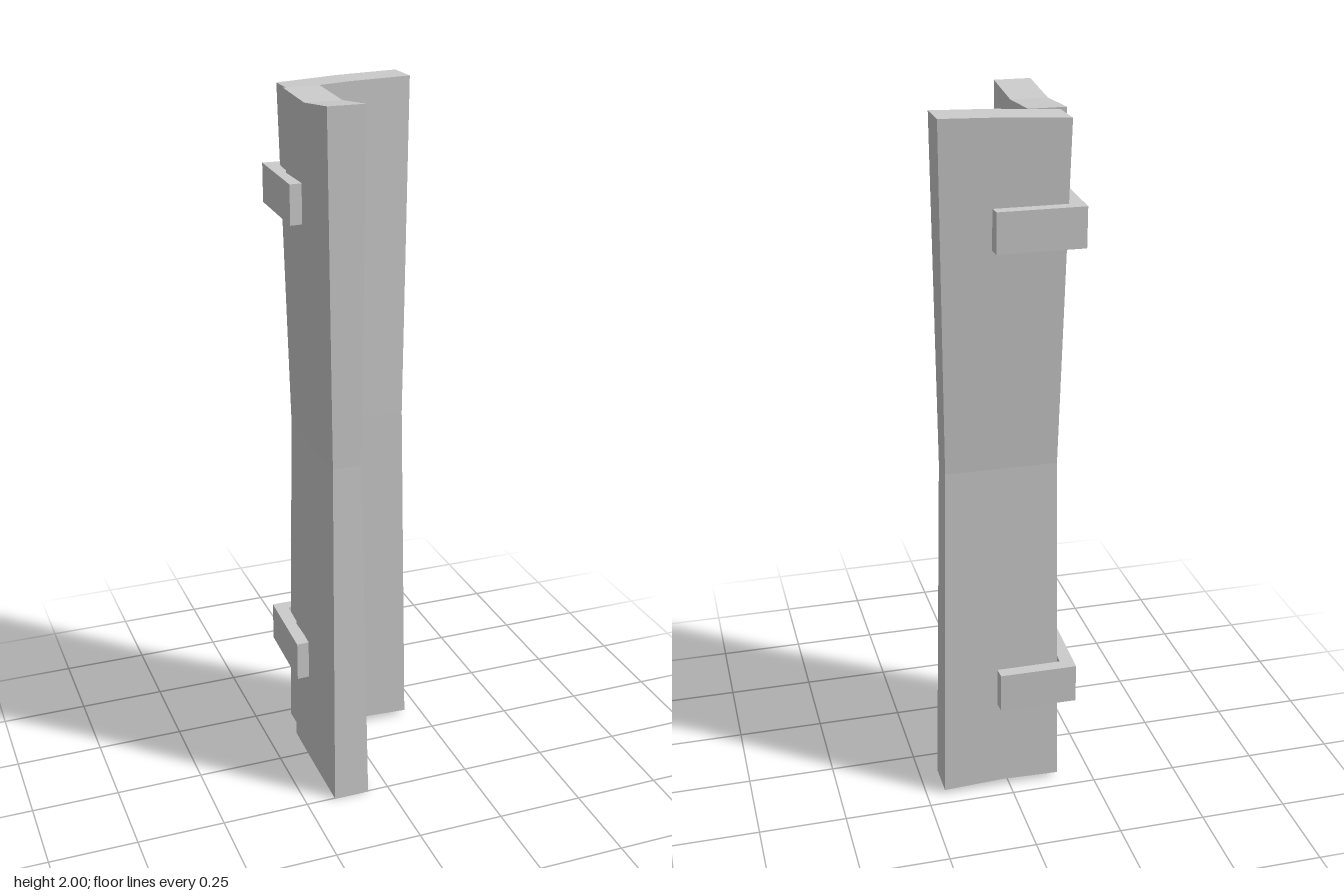
import * as THREE from 'three';

const material = new THREE.MeshStandardMaterial({ color: 0xcccccc, flatShading: true });

// Hewn plank: a segmented box fitted to three levels [x0, x1, z0, z1] (bottom, waist, top),
// with its end heights varying along the plank's width (three values per end).
function plank(name, levels, along, bottomY, topY) {
  const geo = new THREE.BoxGeometry(1, 2, 1, along === 'x' ? 2 : 1, 2, along === 'z' ? 2 : 1);
  const p = geo.attributes.position;
  for (let i = 0; i < p.count; i++) {
    const u = p.getX(i) + 0.5, w = p.getZ(i) + 0.5;
    const row = Math.round(p.getY(i)) + 1;
    const [x0, x1, z0, z1] = levels[row];
    const col = Math.round((along === 'x' ? u : w) * 2);
    const y = [bottomY[col], 1.03, topY[col]][row];
    p.setXYZ(i, x0 + (x1 - x0) * u, y, z0 + (z1 - z0) * w);
  }
  geo.computeVertexNormals();
  const mesh = new THREE.Mesh(geo, material);
  mesh.name = name;
  return mesh;
}

// L-shaped bracket: plan outline as [x, z], extruded upwards from y
function bracket(name, outline, y, height) {
  const shape = new THREE.Shape(outline.map(([x, z]) => new THREE.Vector2(x, -z)));
  const geo = new THREE.ExtrudeGeometry(shape, { depth: height, bevelEnabled: false });
  geo.rotateX(-Math.PI / 2);
  geo.translate(0, y, 0);
  const mesh = new THREE.Mesh(geo, material);
  mesh.name = name;
  return mesh;
}

export function createModel() {
  const group = new THREE.Group();
  group.name = 'cornerPost';

  // Two planks meeting at a right angle, slightly narrowed at the waist
  group.add(plank('sidePlank', [
    [-0.165, -0.062, -0.1, 0.252],
    [-0.153, -0.071, -0.087, 0.218],
    [-0.165, -0.062, -0.12, 0.225],
  ], 'z', [0.01, 0.003, 0], [1.99, 1.98, 2]));
  group.add(plank('backPlank', [
    [-0.148, 0.197, -0.204, -0.1],
    [-0.135, 0.18, -0.188, -0.11],
    [-0.148, 0.197, -0.228, -0.122],
  ], 'x', [0.015, 0.02, 0.012], [1.985, 1.995, 2]));

  // Brackets wrapping the outer corner
  group.add(bracket('upperBracket', [
    [-0.197, 0.02], [-0.163, 0.018], [-0.149, -0.212],
    [0.056, -0.212], [0.054, -0.253], [-0.185, -0.254],
  ], 1.655, 0.11));
  group.add(bracket('lowerBracket', [
    [-0.199, 0.026], [-0.163, 0.024], [-0.151, -0.198],
    [0.036, -0.198], [0.034, -0.234], [-0.19, -0.235],
  ], 0.282, 0.116));

  return group;
}
